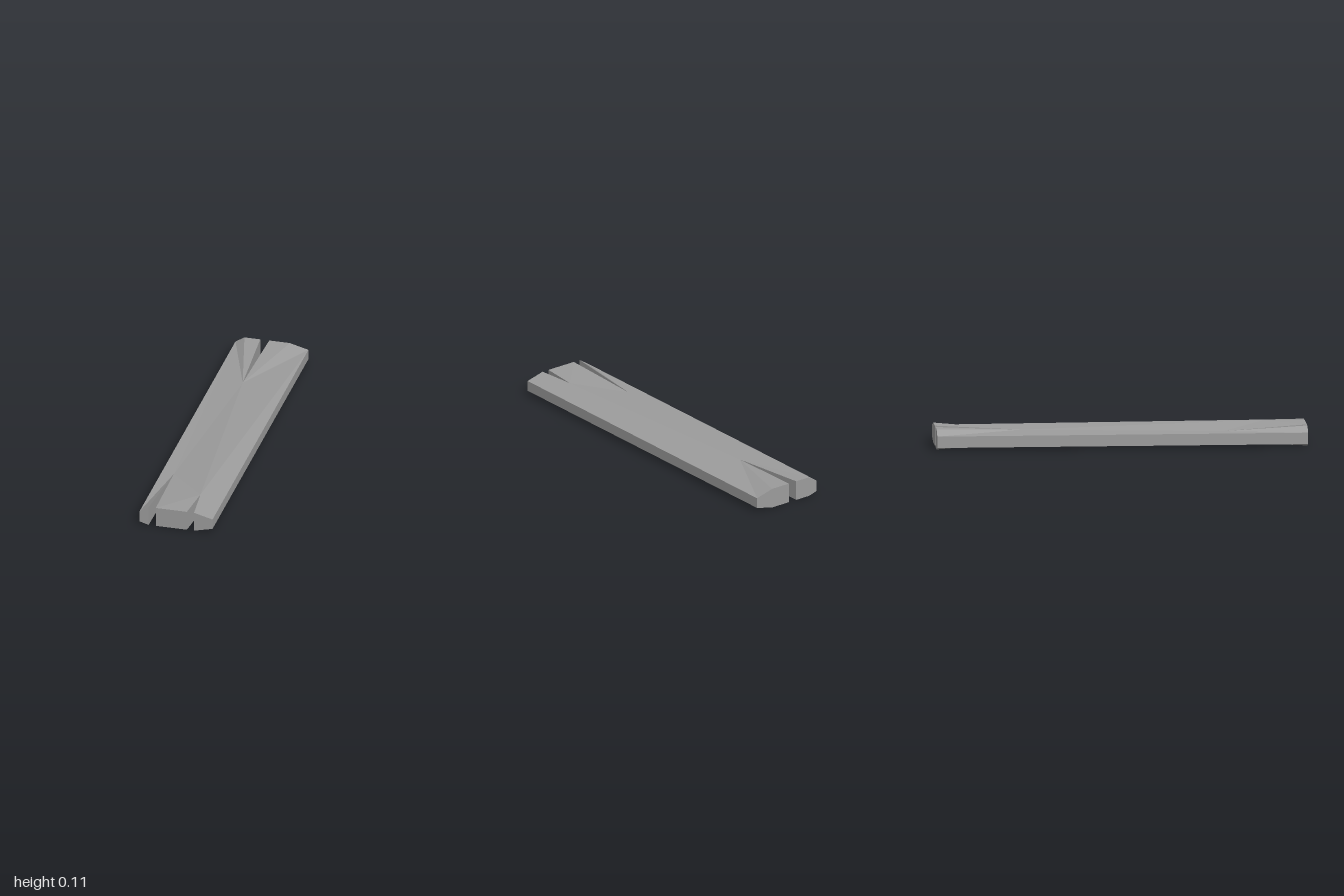
import * as THREE from 'three';

// Outline of the plank, counter-clockwise from above: [x, z, bottom y, top y]
const outline = [
  [-0.203, 1, 0.015, 0.077], [-0.153, 1, 0, 0.109],
  [-0.133, 0.55, 0.023, 0.08],                        // long front split
  [-0.113, 1, 0, 0.109], [0.06, 1, 0, 0.109],
  [0.08, 0.79, 0, 0.109],                             // short front split
  [0.1, 1, 0, 0.109], [0.203, 1, 0.025, 0.082],
  [0.203, -1, 0.025, 0.082], [0.1, -1, 0, 0.109], [-0.015, -1, 0, 0.109],
  [-0.04, -0.54, 0.018, 0.086],                       // back split
  [-0.065, -1, 0, 0.109], [-0.153, -1, 0, 0.109], [-0.203, -1, 0.015, 0.077],
];

// Facets of the worn upper face, as outline indices; the underside mirrors them
const facets = [
  [0, 1, 2], [0, 2, 14], [14, 2, 11], [11, 13, 14], [11, 12, 13],
  [9, 10, 11], [8, 9, 11], [5, 8, 11], [5, 7, 8], [5, 6, 7],
  [2, 5, 11], [2, 3, 5], [3, 4, 5],
];

function plankGeometry() {
  const positions = [];
  const bottom = (i) => [outline[i][0], outline[i][2], outline[i][1]];
  const top = (i) => [outline[i][0], outline[i][3], outline[i][1]];
  const triangle = (a, b, c) => positions.push(...a, ...b, ...c);

  // Upper and lower faces
  for (const [a, b, c] of facets) {
    triangle(top(a), top(b), top(c));
    triangle(bottom(c), bottom(b), bottom(a));
  }
  // Sides, ends and the walls of the splits
  for (let i = 0; i < outline.length; i++) {
    const j = (i + 1) % outline.length;
    triangle(bottom(i), bottom(j), top(j));
    triangle(bottom(i), top(j), top(i));
  }
  const geometry = new THREE.BufferGeometry();
  geometry.setAttribute('position', new THREE.Float32BufferAttribute(positions, 3));
  geometry.computeVertexNormals();
  return geometry;
}

export function createModel() {
  const group = new THREE.Group();
  group.name = 'splitPlank';
  const material = new THREE.MeshStandardMaterial({ color: 0x9c9c9c });
  material.name = 'weatheredGrey';
  const plank = new THREE.Mesh(plankGeometry(), material);
  plank.name = 'plank';
  group.add(plank);
  return group;
}
